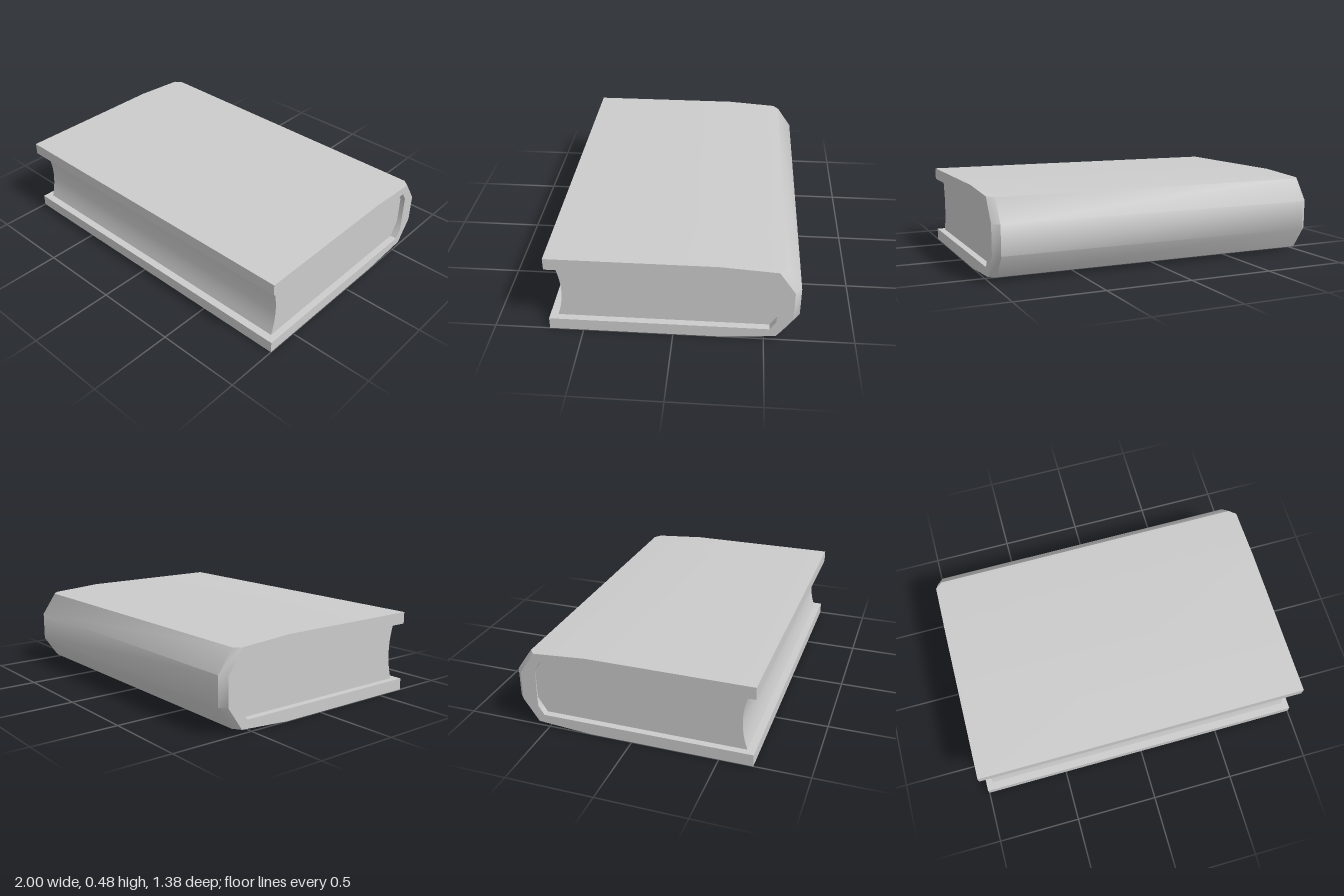
import * as THREE from 'three';
import { toCreasedNormals } from 'three/addons/utils/BufferGeometryUtils.js';

const MID = 0.24; // half the thickness of the closed book

// Upper halves of the profiles as [z, y]; the lower halves are mirrored about MID.
const outer = [[0.69, 0.48], [-0.25, 0.48], [-0.6, 0.455], [-0.69, 0.325]];
const inner = [[-0.53, 0.41], [-0.585, 0.325]];

const mirrored = (points) => points.map(([z, y]) => [z, 2 * MID - y]).reverse();
const toShape = (points) => new THREE.Shape(points.map(([z, y]) => new THREE.Vector2(z, y)));

// Extrude a side profile along x, centred on x = 0.
function extrudeAcross(points, width, steps, shapeEnds) {
  const geometry = new THREE.ExtrudeGeometry(toShape(points), { depth: width, steps, bevelEnabled: false });
  geometry.translate(0, 0, -width / 2);
  if (shapeEnds) shapeEnds(geometry.attributes.position);
  geometry.rotateY(-Math.PI / 2);
  return toCreasedNormals(geometry, THREE.MathUtils.degToRad(38));
}

// Chamfer the two ends of the spine
function chamferSpine(position) {
  for (let i = 0; i < position.count; i++) {
    const u = position.getX(i), y = position.getY(i), w = position.getZ(i);
    if (Math.abs(w) < 0.99) {
      position.setZ(i, Math.sign(w) * 0.96);
    } else if (u < -0.59) {
      position.setX(i, u + 0.035);
      // Keep the shifted corner on the sloping cover plane
      if (u > -0.65) position.setY(i, y + Math.sign(y - MID) * 0.0025);
    }
  }
}

export function createModel() {
  const book = new THREE.Group();
  book.name = 'book';
  const material = new THREE.MeshStandardMaterial({ color: 0xcccccc });

  // Cover: two boards and the faceted spine in one C-shaped section
  const innerUpper = [[0.69, 0.41], ...inner];
  const coverProfile = [
    ...outer, ...mirrored(outer),
    ...mirrored(innerUpper).reverse(), ...innerUpper.slice().reverse(),
  ];
  // Walk the inside back from the lower board to the upper board
  const n = outer.length * 2;
  const lowerInside = coverProfile.slice(n, n + innerUpper.length);
  const profile = [...coverProfile.slice(0, n), ...lowerInside, ...coverProfile.slice(n + innerUpper.length)];
  const cover = new THREE.Mesh(extrudeAcross(profile, 2, 3, chamferSpine), material);
  cover.name = 'cover';

  // Page block: fills the cover, with a hollow fore edge
  const foreEdge = [];
  for (let i = 0; i <= 12; i++) {
    const t = (i / 12) * 2 - 1;
    foreEdge.push([0.615 + 0.03 * t * t, MID + 0.17 * t]);
  }
  const pages = new THREE.Mesh(
    extrudeAcross([...foreEdge, ...inner, ...mirrored(inner)], 1.92, 1), material);
  pages.name = 'pages';

  book.add(cover, pages);
  return book;
}
